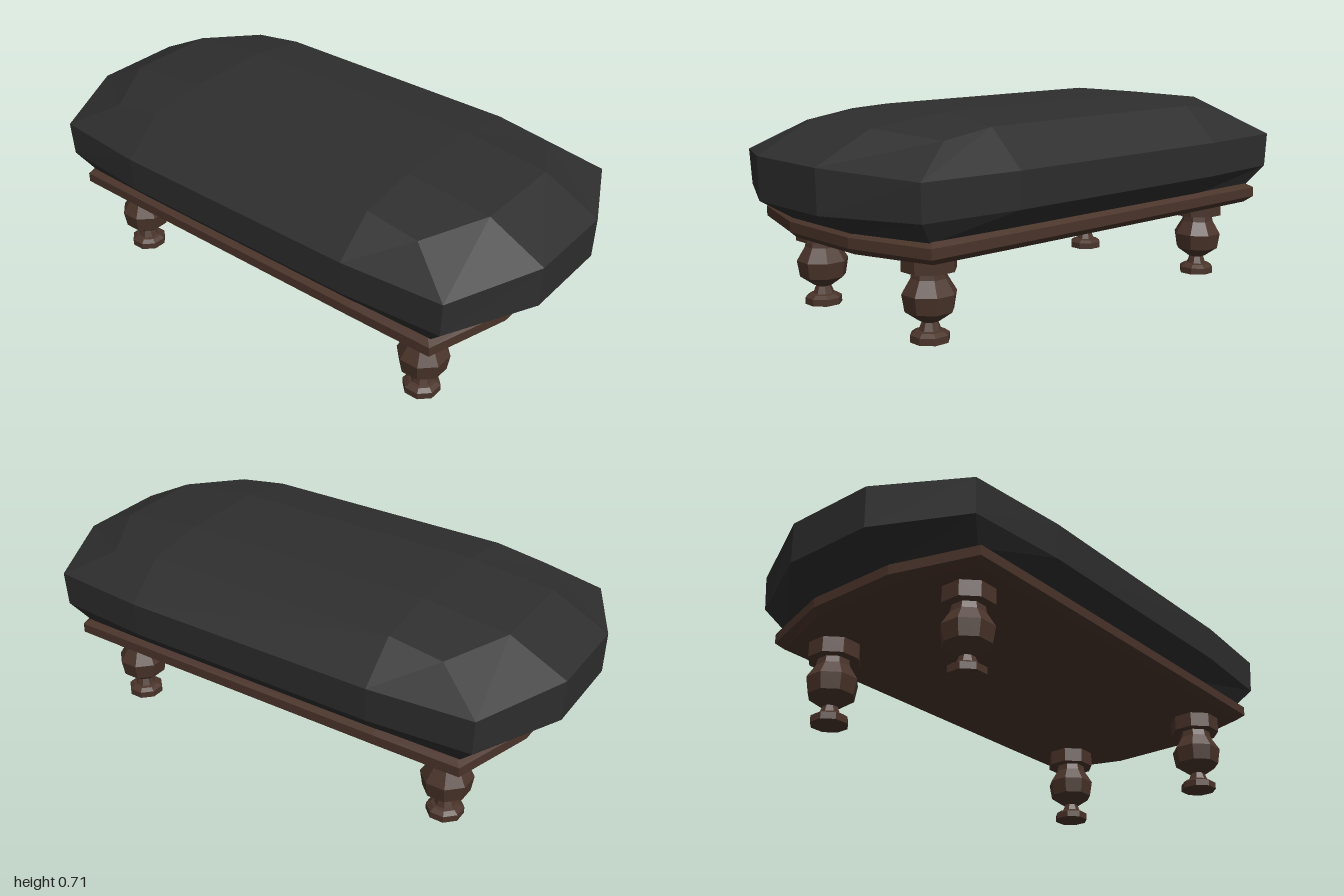
import * as THREE from 'three';

// Skins a stack of 12-point outlines. Each level lists three [x, y, z]
// points of one quadrant, from the end of the bench round to its side.
function skinLevels(levels) {
  const rings = levels.map((q) => {
    const flip = (sx, sz) => q.map(([x, y, z]) => new THREE.Vector3(x * sx, y, z * sz));
    return [...flip(1, 1), ...flip(1, -1).reverse(), ...flip(-1, -1), ...flip(-1, 1).reverse()];
  });
  const pos = [];
  const tri = (a, b, c) => {
    if (new THREE.Triangle(a, b, c).getArea() < 1e-7) return;
    for (const p of [a, b, c]) pos.push(p.x, p.y, p.z);
  };
  for (let k = 0; k < rings.length - 1; k++) {
    const lo = rings[k], hi = rings[k + 1];
    for (let i = 0; i < 12; i++) {
      const j = (i + 1) % 12;
      tri(lo[i], lo[j], hi[j]);
      tri(lo[i], hi[j], hi[i]);
    }
  }
  // Bottom and top caps
  const bottom = rings[0], top = rings[rings.length - 1];
  for (let i = 1; i < 11; i++) {
    tri(bottom[0], bottom[i + 1], bottom[i]);
    tri(top[0], top[i], top[i + 1]);
  }
  const geo = new THREE.BufferGeometry();
  geo.setAttribute('position', new THREE.Float32BufferAttribute(pos, 3));
  geo.computeVertexNormals();
  return geo;
}

export function createModel() {
  const group = new THREE.Group();
  const leather = new THREE.MeshStandardMaterial({ color: 0x2e2e2e });
  leather.name = 'black leather';
  const wood = new THREE.MeshStandardMaterial({ color: 0x4a342a });
  wood.name = 'dark wood';

  const add = (name, geo, mat) => {
    const mesh = new THREE.Mesh(geo, mat);
    mesh.name = name;
    group.add(mesh);
    return mesh;
  };

  // Padded seat with a domed top
  add('cushion', skinLevels([
    [[0.17, 0.355, 0.87], [0.445, 0.355, 0.78], [0.45, 0.355, 0.48]],
    [[0.17, 0.43, 0.997], [0.488, 0.43, 0.842], [0.517, 0.43, 0.48]],
    [[0.17, 0.578, 1], [0.492, 0.555, 0.848], [0.523, 0.555, 0.48]],
    [[0.17, 0.68, 0.795], [0.387, 0.652, 0.675], [0.387, 0.68, 0.48]],
    [[0.17, 0.713, 0.48], [0.17, 0.713, 0.48], [0.17, 0.713, 0.48]],
  ]), leather);

  // Bevelled board under the seat
  const boardLevel = (y, inset) => [
    [0.17, y, 0.888 - inset], [0.473 - inset, y, 0.797 - inset], [0.475 - inset, y, 0.48],
  ];
  add('seatBoard', skinLevels([
    boardLevel(0.29, 0.025), boardLevel(0.312, 0),
    boardLevel(0.347, 0), boardLevel(0.362, 0.022),
  ]), wood);

  // Turned eight-sided legs; the profile gives half-widths across the flats
  const profile = [
    [0, 0], [0.061, 0], [0.061, 0.024], [0.046, 0.035], [0.027, 0.038],
    [0.019, 0.065], [0.03, 0.067], [0.076, 0.102], [0.085, 0.16],
    [0.057, 0.21], [0.053, 0.234], [0.085, 0.234], [0.085, 0.292], [0, 0.292],
  ];
  // Slightly wider stem above the foot
  profile[4][0] = 0.035;
  profile[5][0] = 0.025;
  const legGeo = new THREE.LatheGeometry(
    profile.map(([r, y]) => new THREE.Vector2(r / Math.cos(Math.PI / 8), y)), 8, Math.PI / 8,
  ).toNonIndexed();
  legGeo.computeVertexNormals();
  for (const [zName, z] of [['front', 0.673], ['back', -0.673]]) {
    for (const [xName, x] of [['Left', 0.301], ['Right', -0.314]]) {
      add(`${zName}${xName}Leg`, legGeo, wood).position.set(x, 0, z);
    }
  }
  return group;
}
